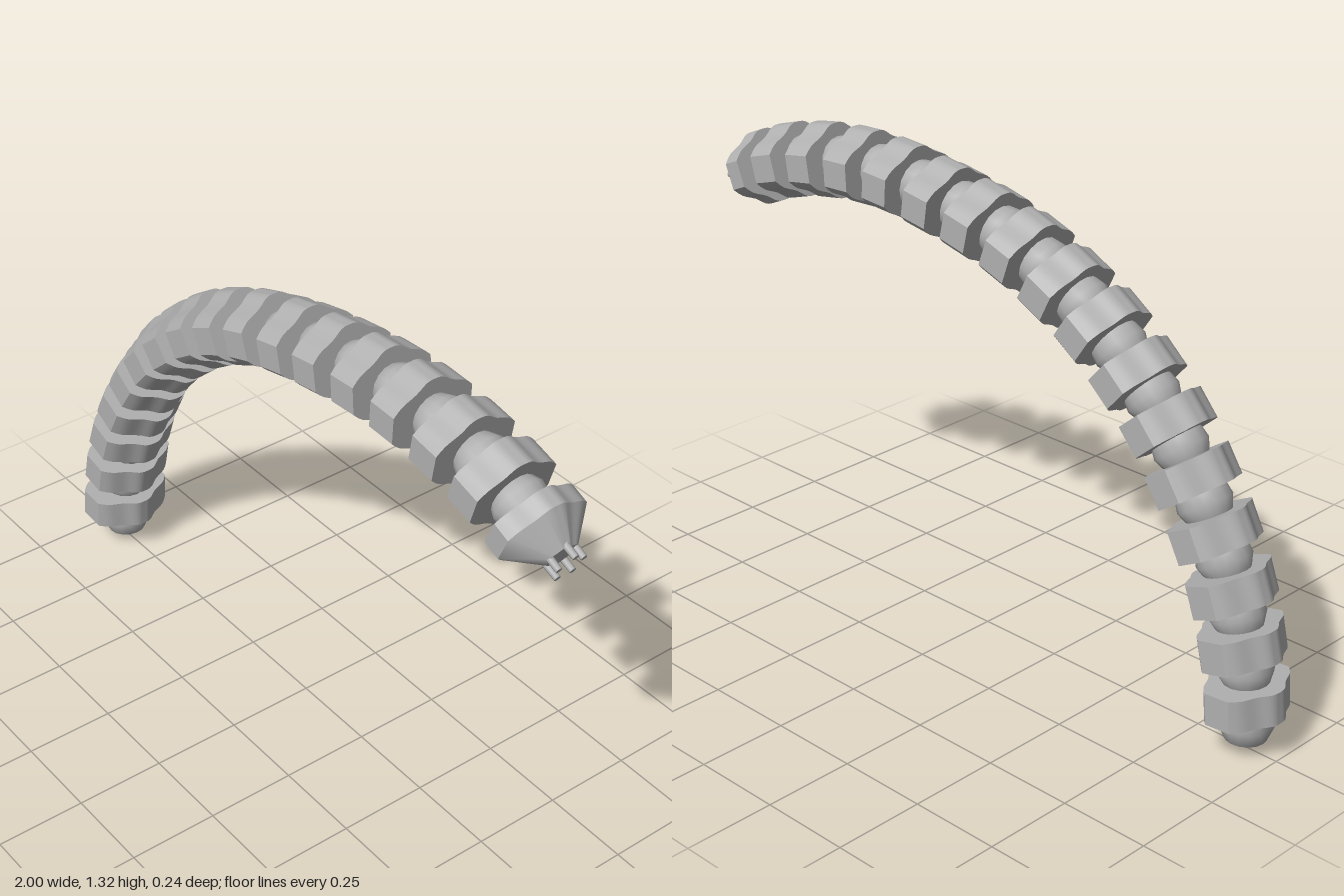
import * as THREE from 'three';
import { toCreasedNormals } from 'three/addons/utils/BufferGeometryUtils.js';

// Plate centres along the arched spine, with one guide point at each end
const PATH = [
  [-0.9, 0], [-0.9, 0.147], [-0.877, 0.291], [-0.837, 0.428], [-0.778, 0.559],
  [-0.703, 0.685], [-0.618, 0.8], [-0.516, 0.9], [-0.4, 0.992], [-0.275, 1.064],
  [-0.139, 1.123], [0.003, 1.163], [0.147, 1.19], [0.297, 1.209], [0.446, 1.211],
  [0.596, 1.195], [0.739, 1.162], [0.86, 1.116], [0.985, 1.058],
];

// Plate outline: rounded ridge on both edges, flowing down to short flat sides
function plateShape() {
  const ridge = new THREE.SplineCurve([
    [-0.12, 0.037], [-0.095, 0.06], [-0.055, 0.078], [-0.025, 0.099], [0, 0.103],
    [0.025, 0.099], [0.055, 0.078], [0.095, 0.06], [0.12, 0.037],
  ].map(([x, y]) => new THREE.Vector2(x, y))).getPoints(24);
  const under = ridge.map((p) => new THREE.Vector2(-p.x, -p.y));
  return new THREE.Shape([...ridge, ...under]);
}

// Slab running along local x from x0, optionally narrowing to endScale
function slab(x0, depth, endScale = 1) {
  const geo = new THREE.ExtrudeGeometry(plateShape(), { depth, bevelEnabled: false });
  const pos = geo.attributes.position;
  for (let i = 0; i < pos.count; i++) {
    const s = 1 + (endScale - 1) * (pos.getZ(i) / depth);
    pos.setXY(i, pos.getX(i) * s, pos.getY(i) * s);
  }
  geo.rotateY(Math.PI / 2).translate(x0, 0, 0);
  return toCreasedNormals(geo, 0.6);
}

export function createModel() {
  const model = new THREE.Group();
  model.name = 'segmentedArm';
  const grey = new THREE.MeshStandardMaterial({ color: 0xb0b0b0 });
  grey.name = 'grey';

  const curve = new THREE.CatmullRomCurve3(
    PATH.map(([x, y]) => new THREE.Vector3(x, y, 0)), false, 'catmullrom', 0.5);
  const last = PATH.length - 1;

  const add = (parent, name, geo) => {
    const mesh = new THREE.Mesh(geo, grey);
    mesh.name = name;
    parent.add(mesh);
    return mesh;
  };
  // Place a part on the path with its local x axis along the spine
  const place = (object, index) => {
    const t = index / last;
    const dir = curve.getTangent(t);
    object.position.copy(curve.getPoint(t));
    object.rotation.z = Math.atan2(dir.y, dir.x);
  };

  const plateGeo = slab(-0.043, 0.086);
  const ballGeo = toCreasedNormals(new THREE.LatheGeometry([
    [0, -0.074], [0.056, -0.042], [0.073, 0], [0.066, 0.04], [0.05, 0.074], [0, 0.076],
  ].map(([x, y]) => new THREE.Vector2(x, y)), 16).rotateZ(-Math.PI / 2), 0.7);

  // Ball joints and the plates between them
  for (let i = 0; i < last - 1; i++) {
    place(add(model, 'ballJoint', ballGeo), i + 0.5);
    if (i > 0) place(add(model, 'plate', plateGeo), i);
  }

  // Head: collar plate, tapering nose and a ring of prongs
  const head = new THREE.Group();
  head.name = 'head';
  place(head, last - 1);
  model.add(head);
  add(head, 'collar', slab(-0.026, 0.052));
  add(head, 'nose', slab(0.026, 0.074, 0.36));
  const prongGeo = new THREE.CylinderGeometry(0.009, 0.011, 0.08, 8).rotateZ(-Math.PI / 2);
  for (let i = 0; i < 5; i++) {
    const a = (i / 5) * Math.PI * 2;
    add(head, 'prong', prongGeo)
      .position.set(0.092, Math.cos(a) * 0.04 - 0.005, Math.sin(a) * 0.04);
  }
  return model;
}
